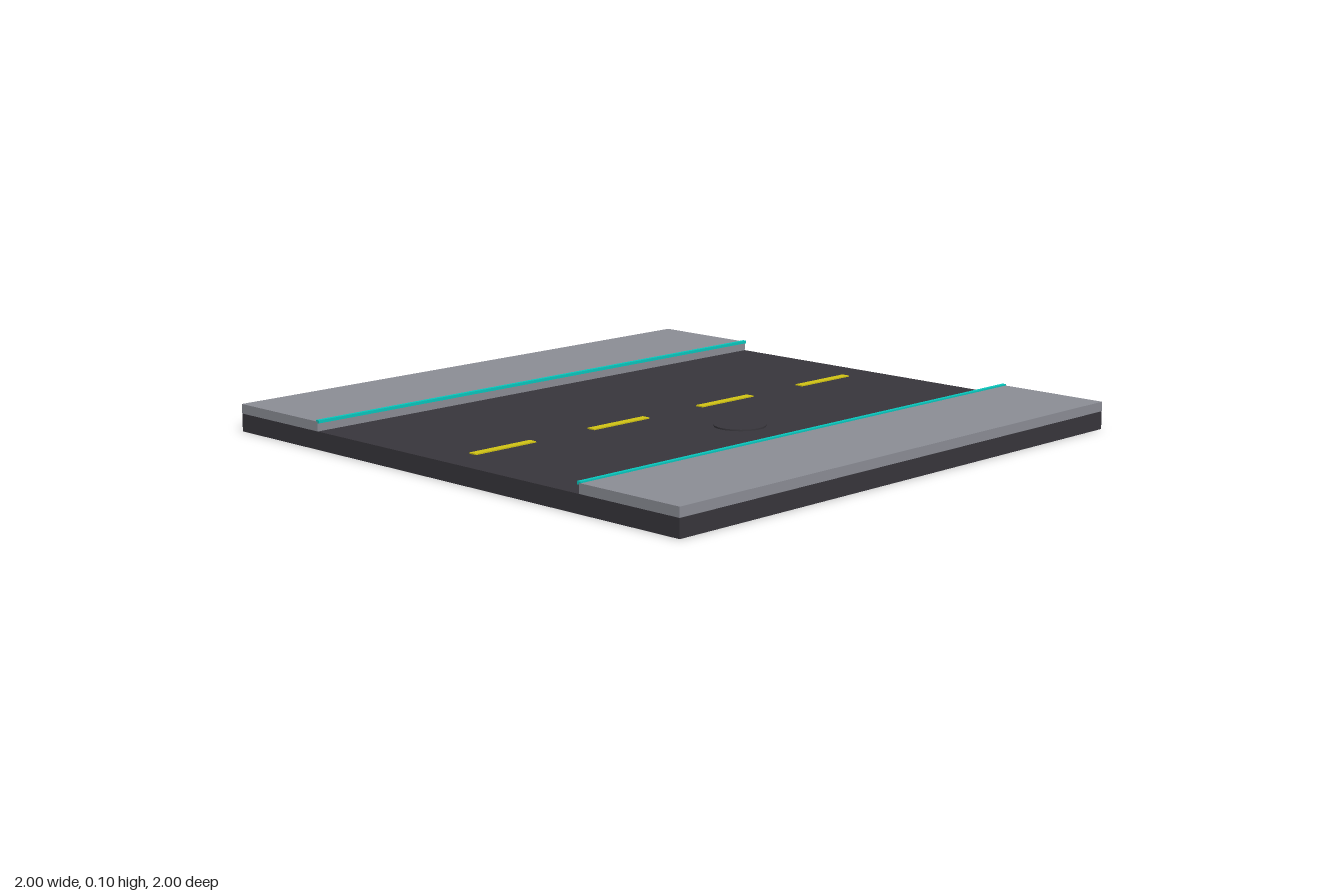
import * as THREE from 'three';

function material(name, color) {
  const m = new THREE.MeshStandardMaterial({ color });
  m.name = name;
  return m;
}

export function createModel() {
  const asphalt = material('asphalt', 0x38363c);
  const concrete = material('concrete', 0x8c8e96);
  const yellow = material('laneYellow', 0xd2c414);
  const teal = material('edgeTeal', 0x08c8be);

  const group = new THREE.Group();
  group.name = 'roadTile';

  // Box resting on the height y0
  function slab(name, mat, w, h, d, x, y0, z = 0) {
    const mesh = new THREE.Mesh(new THREE.BoxGeometry(w, h, d), mat);
    mesh.name = name;
    mesh.position.set(x, y0 + h / 2, z);
    group.add(mesh);
  }

  // Road bed
  slab('roadBed', asphalt, 2, 0.06, 2, 0, 0);

  // Raised pavements with a bright strip along each kerb
  for (const [side, s] of [['left', 1], ['right', -1]]) {
    slab(side + 'Pavement', concrete, 0.4, 0.032, 2, s * 0.8, 0.06);
    slab(side + 'KerbStrip', teal, 0.014, 0.01, 2, s * 0.6, 0.087);
  }

  // Dashed centre line
  for (let i = 0; i < 4; i++) {
    slab('laneDash' + (i + 1), yellow, 0.03, 0.004, 0.25, 0, 0.06, -0.75 + i * 0.5);
  }

  // Manhole cover
  const cover = new THREE.Mesh(new THREE.CylinderGeometry(0.085, 0.085, 0.005, 24), asphalt);
  cover.name = 'manholeCover';
  cover.position.set(0.3, 0.0625, 0);
  group.add(cover);

  return group;
}
